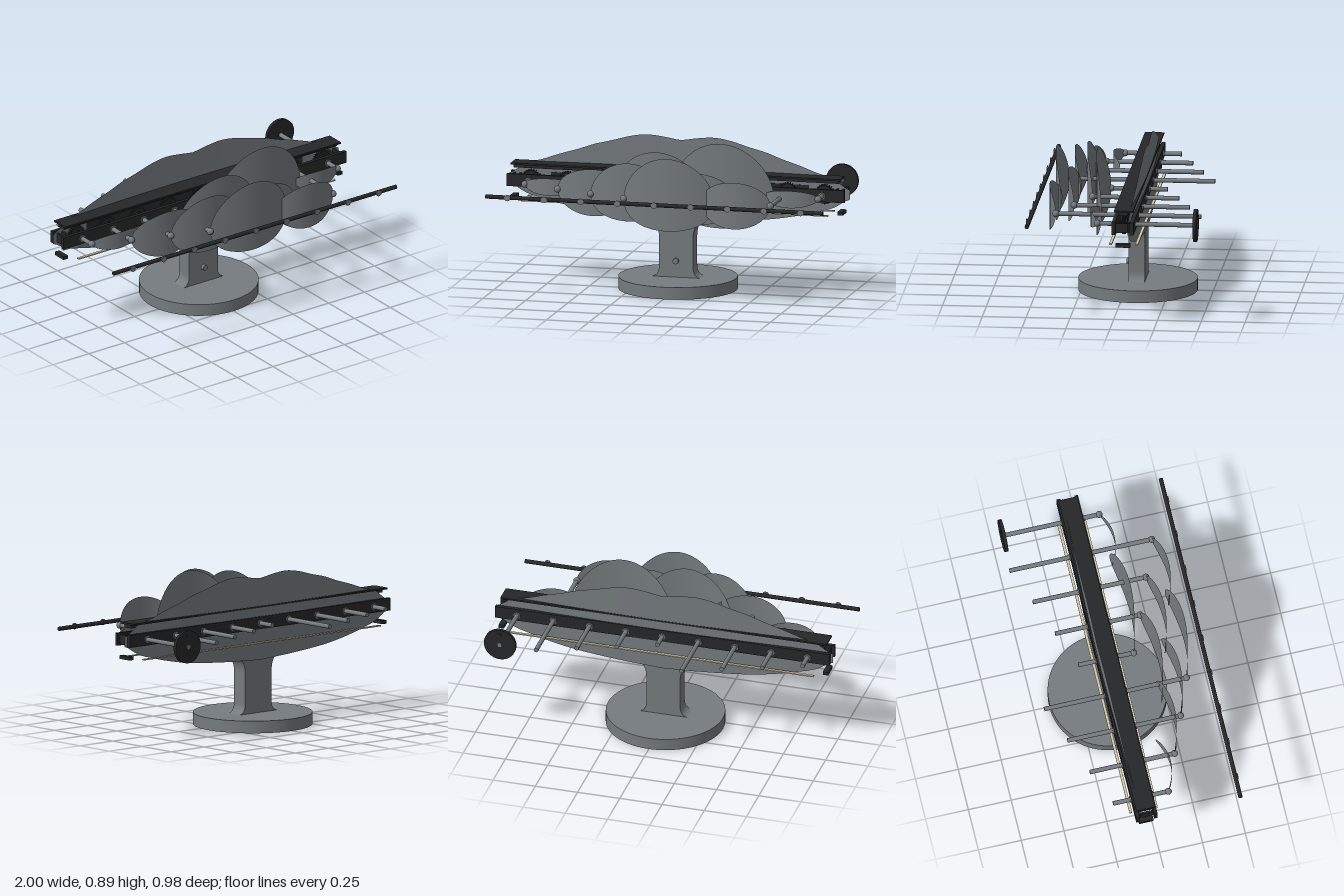
import * as THREE from 'three';

const AXIS_Y = 0.587;

export function createModel() {
  const root = new THREE.Group();
  const grey = new THREE.MeshStandardMaterial({ color: 0x757b7f });
  grey.name = 'steel grey';
  const sheet = new THREE.MeshStandardMaterial({ color: 0x757b7f, side: THREE.DoubleSide });
  sheet.name = 'sheet grey';
  const dark = new THREE.MeshStandardMaterial({ color: 0x262728 });
  dark.name = 'charcoal';
  const cream = new THREE.MeshStandardMaterial({ color: 0xd2c8a4 });
  cream.name = 'cream';

  const add = (name, geometry, material, x = 0, y = 0, z = 0) => {
    const mesh = new THREE.Mesh(geometry, material);
    mesh.name = name;
    mesh.position.set(x, y, z);
    root.add(mesh);
    return mesh;
  };
  // Box given by its limits on each axis
  const box = (name, mat, x0, x1, y0, y1, z0, z1) =>
    add(name, new THREE.BoxGeometry(x1 - x0, y1 - y0, z1 - z0), mat,
      (x0 + x1) / 2, (y0 + y1) / 2, (z0 + z1) / 2);
  // Cylinder running along z
  const rod = (name, mat, x, y, r, z0, z1, sides = 24) =>
    add(name, new THREE.CylinderGeometry(r, r, z1 - z0, sides).rotateX(Math.PI / 2),
      mat, x, y, (z0 + z1) / 2);

  // Curved sheet from vertical sections: section(u) gives [x, bottom, top, z]
  const bentSheet = (name, columns, section) => {
    const pos = [], index = [];
    for (let i = 0; i <= columns; i++) {
      const [x, bottom, top, z] = section(-1 + 2 * i / columns);
      pos.push(x, bottom, z, x, top, z);
      if (i < columns) {
        const a = i * 2;
        index.push(a, a + 2, a + 3, a, a + 3, a + 1);
      }
    }
    const g = new THREE.BufferGeometry();
    g.setAttribute('position', new THREE.Float32BufferAttribute(pos, 3));
    g.setIndex(index);
    g.computeVertexNormals();
    return add(name, g, sheet);
  };

  // Round base and flared neck
  add('base', new THREE.CylinderGeometry(0.34, 0.34, 0.07, 64), grey, 0, 0.035, -0.07);
  const neck = new THREE.Shape();
  neck.moveTo(-0.14, 0.07);
  neck.quadraticCurveTo(-0.1, 0.08, -0.1, 0.13);
  neck.lineTo(-0.1, 0.3);
  neck.quadraticCurveTo(-0.1, 0.39, -0.17, 0.41);
  neck.lineTo(-0.17, 0.48);
  neck.lineTo(0.17, 0.48);
  neck.lineTo(0.17, 0.41);
  neck.quadraticCurveTo(0.1, 0.39, 0.1, 0.3);
  neck.lineTo(0.1, 0.13);
  neck.quadraticCurveTo(0.1, 0.08, 0.14, 0.07);
  add('neck', new THREE.ExtrudeGeometry(neck, { depth: 0.095, bevelEnabled: false, curveSegments: 10 }),
    grey, 0, 0, -0.119);
  rod('neckButton', grey, 0, 0.165, 0.017, -0.03, -0.006);

  // Wide scalloped back shell, ends bent forward
  const outline = (ys) => new THREE.SplineCurve(ys.map((y, i) => new THREE.Vector2(i / 10, y)));
  const upper = outline([0.845, 0.86, 0.868, 0.853, 0.825, 0.8, 0.765, 0.735, 0.7, 0.67, 0.61]);
  const lower = outline([0.375, 0.38, 0.385, 0.392, 0.4, 0.41, 0.425, 0.445, 0.47, 0.5, 0.555]);
  bentSheet('backShell', 80, (u) => {
    const t = Math.abs(u);
    return [u, lower.getPoint(t).y, upper.getPoint(t).y, -0.129 + 0.028 * u * u];
  });

  // Frame beams, end spacers, top plate and rack
  box('frontBeam', dark, -0.99, 0.99, 0.552, 0.624, -0.03, -0.01);
  box('backBeam', dark, -0.99, 0.99, 0.552, 0.624, -0.135, -0.113);
  box('topPlate', dark, -0.97, 0.96, 0.675, 0.685, -0.13, -0.02);
  box('rack', dark, -0.96, 0.95, 0.655, 0.675, -0.1, -0.045);
  for (const s of [-1, 1]) {
    for (const x of [0.93, 0.965]) {
      box('endSpacer', dark, s * x - 0.006, s * x + 0.006, 0.56, 0.615, -0.115, -0.028);
    }
    box('endBlock', dark, s * 0.96 - 0.016, s * 0.96 + 0.016, 0.475, 0.495, -0.115, -0.03);
  }
  for (const z of [0.004, -0.145]) box('thinRail', cream, -0.9, 0.9, 0.472, 0.479, z - 0.008, z + 0.008);

  // Toothed wheel shape
  const gearShape = new THREE.Shape();
  const teeth = 24;
  for (let i = 0; i < teeth * 4; i++) {
    const a = i / (teeth * 4) * Math.PI * 2;
    const r = i % 4 < 2 ? 0.058 : 0.048;
    gearShape[i ? 'lineTo' : 'moveTo'](r * Math.cos(a), r * Math.sin(a));
  }
  const gearGeo = new THREE.ExtrudeGeometry(gearShape, { depth: 0.02, bevelEnabled: false });

  // Shafts with petals: [shaft x, front z, back z, far petal x, half height, rise of centre]
  const shafts = [
    [-0.86, 0.083, -0.24, -0.54, 0.05, 0],
    [-0.645, 0.17, -0.325, -0.2, 0.135, 0],
    [-0.43, 0.255, -0.405, 0.04, 0.168, 0.03],
    [-0.215, 0.34, -0.49, 0.32, 0.21, 0.043],
    [0, 0.083, -0.24, 0.6, 0.245, 0.058],
    [0.215, 0.17, -0.325, -0.32, 0.21, 0.043],
    [0.43, 0.255, -0.405, -0.04, 0.15, 0.01],
    [0.645, 0.34, -0.49, 0.24, 0.135, 0],
    [0.86, 0.083, -0.48, 0.54, 0.05, 0],
  ];
  for (const [x, front, back, far, half, rise] of shafts) {
    rod('shaft', grey, x, AXIS_Y, 0.013, back, front);
    add('shaftTip', new THREE.SphereGeometry(0.02, 20, 14), grey, x, AXIS_Y, front);
    add('gear', gearGeo, dark, x, AXIS_Y, -0.08);
    rod('gearHub', dark, x, AXIS_Y, 0.03, -0.09, -0.05);
    rod('frontCollar', grey, x, AXIS_Y, 0.02, -0.012, -0.004);
    rod('backCollar', grey, x, AXIS_Y, 0.02, -0.141, -0.133);
    const mid = (x + far) / 2, halfWidth = Math.abs(far - x) / 2;
    bentSheet('petal', 40, (v) => {
      const u = Math.sin(v * Math.PI / 2);
      const bulge = 1 - u * u;
      const h = half * Math.sqrt(Math.max(bulge, 0));
      const cy = AXIS_Y + rise * bulge;
      return [mid + u * halfWidth, cy - h, cy + h, front + 0.052 * bulge];
    });
    // Stud on the free front bar
    rod('barPin', grey, x, AXIS_Y, 0.006, 0.47, 0.488);
    rod('barStud', grey, x, AXIS_Y, 0.018, 0.484, 0.49);
  }

  // Free bar in front of the petals
  add('frontBar', new THREE.CylinderGeometry(0.012, 0.012, 1.98, 20).rotateZ(Math.PI / 2),
    dark, 0, AXIS_Y, 0.474);

  // Crank wheel behind the left shaft
  rod('crankWheel', dark, 0.86, AXIS_Y, 0.094, -0.488, -0.468, 48);
  rod('crankCap', grey, 0.86, AXIS_Y, 0.013, -0.491, -0.465);
  rod('crankKnob', dark, 0.86, 0.65, 0.01, -0.492, -0.48);

  return root;
}
